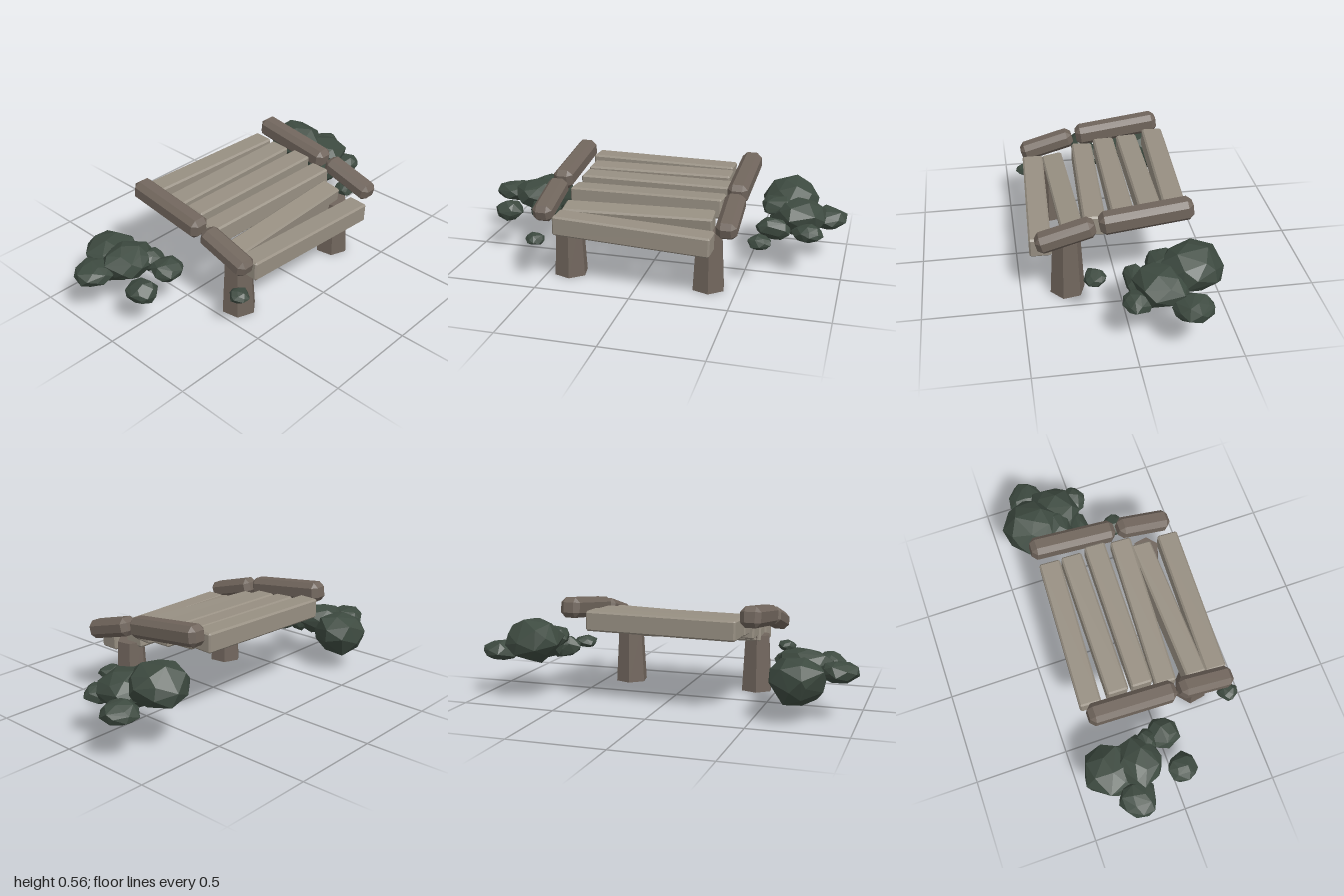
import * as THREE from 'three';
import { ConvexGeometry } from 'three/addons/geometries/ConvexGeometry.js';

const material = (name, color) => {
  const m = new THREE.MeshStandardMaterial({ color, flatShading: true });
  m.name = name;
  return m;
};

// Box with all edges cut off at 45 degrees
function chamferBox(w, h, d, c) {
  const points = [];
  for (const x of [-1, 1]) for (const y of [-1, 1]) for (const z of [-1, 1]) {
    for (let axis = 0; axis < 3; axis++) {
      const inset = [c, c, c];
      inset[axis] = 0;
      points.push(new THREE.Vector3(x * (w / 2 - inset[0]), y * (h / 2 - inset[1]), z * (d / 2 - inset[2])));
    }
  }
  return new ConvexGeometry(points);
}

function seeded(seed) {
  let s = seed * 7919 + 17;
  return () => (s = (s * 16807) % 2147483647) / 2147483647;
}

// Chunky faceted boulder fitted to the given half sizes
function boulder(rx, ry, rz, seed) {
  const rand = seeded(seed);
  for (let i = 0; i < 5; i++) rand();
  const points = [];
  const n = 30;
  for (let i = 0; i < n; i++) {
    const y = 1 - (2 * (i + 0.5)) / n;
    const a = i * 2.39996 + seed + (rand() - 0.5) * 0.5;
    const r = Math.sqrt(1 - y * y);
    points.push(new THREE.Vector3(r * Math.cos(a), y, r * Math.sin(a)).multiplyScalar(0.88 + rand() * 0.2));
  }
  const box = new THREE.Box3().setFromPoints(points);
  const size = box.getSize(new THREE.Vector3());
  const mid = box.getCenter(new THREE.Vector3());
  const scale = new THREE.Vector3(2 * rx, 2 * ry, 2 * rz).divide(size);
  points.forEach(p => p.sub(mid).multiply(scale));
  return new ConvexGeometry(points);
}

export function createModel() {
  const model = new THREE.Group();
  model.name = 'footbridge';
  const plankWood = material('pale weathered wood', 0x978f82);
  const beamWood = material('dark wood', 0x70655c);
  const stone = material('mossy stone', 0x3d4a40);

  const add = (name, geometry, mat, x, y, z) => {
    const mesh = new THREE.Mesh(geometry, mat);
    mesh.name = name;
    mesh.position.set(x, y, z);
    model.add(mesh);
    return mesh;
  };

  // Deck planks: back end x, y, z, then front end x, y, z, then roll
  const planks = [
    [-0.275, 0.44, -0.38, -0.316, 0.437, 0.42, 0],
    [-0.157, 0.43, -0.385, -0.167, 0.42, 0.40, -0.05],
    [-0.02, 0.415, -0.41, -0.037, 0.41, 0.40, -0.03],
    [0.125, 0.395, -0.40, 0.085, 0.375, 0.42, 0.02],
    [0.225, 0.335, -0.37, 0.25, 0.325, 0.415, -0.15],
    [0.394, 0.29, -0.395, 0.362, 0.315, 0.425, -0.02],
  ];
  planks.forEach(([x0, y0, z0, x1, y1, z1, roll], i) => {
    const back = new THREE.Vector3(x0, y0, z0);
    const front = new THREE.Vector3(x1, y1, z1);
    const mid = back.clone().add(front).multiplyScalar(0.5);
    const plank = add(`plank${i + 1}`, chamferBox(0.112, 0.104, back.distanceTo(front), 0.009),
      plankWood, mid.x, mid.y, mid.z);
    plank.lookAt(front);
    plank.rotateZ(roll);
  });

  // Two kerb beams along each side, stepping down with the deck
  for (const [side, z, yaw] of [['front', 0.481, 0], ['back', -0.464, -0.015]]) {
    const upper = add(`${side}UpperBeam`, chamferBox(0.462, 0.105, 0.105, 0.026), beamWood, -0.12, 0.478, z);
    upper.rotation.set(0, yaw, -0.131);
    const lower = add(`${side}LowerBeam`, chamferBox(0.3, 0.095, 0.105, 0.026), beamWood, 0.276, 0.403, z);
    lower.rotation.set(0, 0, -0.28);
  }

  // Tapered six-sided posts under the low end
  for (const [side, z] of [['front', 0.385], ['back', -0.355]]) {
    const post = add(`${side}Post`, new THREE.CylinderGeometry(0.073, 0.091, 0.31, 6), beamWood, 0.26, 0.155, z);
    post.rotation.y = THREE.MathUtils.degToRad(-20);
  }

  // Boulders: centre x, y, z, then half sizes
  const boulders = [
    [-0.295, 0.315, -0.69, 0.155, 0.12, 0.155],
    [-0.265, 0.245, -0.905, 0.1, 0.057, 0.095],
    [-0.14, 0.275, -0.75, 0.135, 0.095, 0.145],
    [-0.015, 0.235, -0.815, 0.07, 0.05, 0.085],
    [-0.165, 0.315, -0.655, 0.085, 0.06, 0.105],
    [-0.04, 0.235, -0.635, 0.055, 0.06, 0.095],
    [0.15, 0.23, -0.59, 0.057, 0.036, 0.06],
    [-0.305, 0.205, 0.715, 0.155, 0.115, 0.14],
    [-0.165, 0.26, 0.73, 0.115, 0.08, 0.14],
    [-0.235, 0.243, 0.9, 0.1, 0.053, 0.1],
    [0.0, 0.24, 0.625, 0.08, 0.05, 0.085],
    [-0.1, 0.25, 0.64, 0.055, 0.055, 0.065],
    [0.035, 0.228, 0.82, 0.076, 0.057, 0.08],
    [0.4, 0.226, 0.525, 0.057, 0.031, 0.05],
  ];
  boulders.forEach(([x, y, z, rx, ry, rz], i) =>
    add(`boulder${i + 1}`, boulder(rx, ry, rz, i + 1), stone, x, y, z));

  return model;
}
